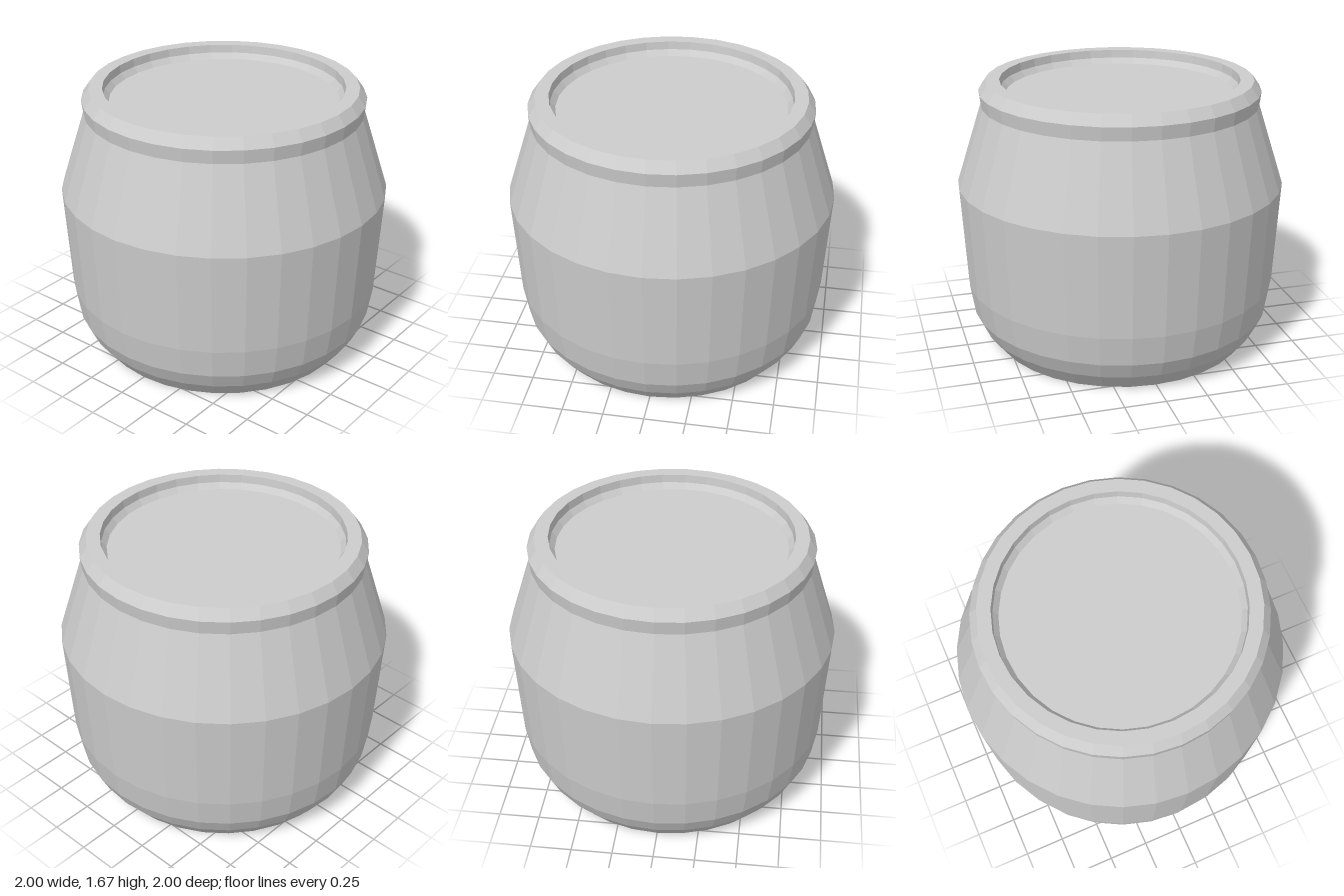
import * as THREE from 'three';

const SIDES = 32;

// Turned part with faceted sides; profile is [radius, height], outer side going up
function turned(name, profile, material) {
  const points = profile.map(([r, y]) => new THREE.Vector2(r, y));
  const geometry = new THREE.LatheGeometry(points, SIDES).toNonIndexed();
  geometry.computeVertexNormals();
  const mesh = new THREE.Mesh(geometry, material);
  mesh.name = name;
  return mesh;
}

// Flat round plate facing up or down
function disc(name, radius, y, up, material) {
  const mesh = new THREE.Mesh(new THREE.CircleGeometry(radius, SIDES), material);
  mesh.rotation.x = up ? -Math.PI / 2 : Math.PI / 2;
  mesh.position.y = y;
  mesh.name = name;
  return mesh;
}

export function createModel() {
  const jar = new THREE.Group();
  jar.name = 'jar';
  const grey = new THREE.MeshStandardMaterial({ color: 0xcccccc });
  grey.name = 'light grey';

  // Base and bulging body with sloping shoulder
  jar.add(disc('base', 0.8, 0, false, grey));
  jar.add(turned('body', [
    [0.8, 0], [0.885, 0.11], [0.935, 0.215], [0.965, 0.4], [1, 1.035], [0.842, 1.525],
  ], grey));

  // Bevelled rim, running over the top and down into the recess
  jar.add(turned('rim', [
    [0.842, 1.525], [0.852, 1.607], [0.807, 1.67], [0.725, 1.67], [0.72, 1.62], [0.69, 1.585],
  ], grey));

  // Sunken top
  jar.add(disc('recessedTop', 0.69, 1.585, true, grey));
  return jar;
}
